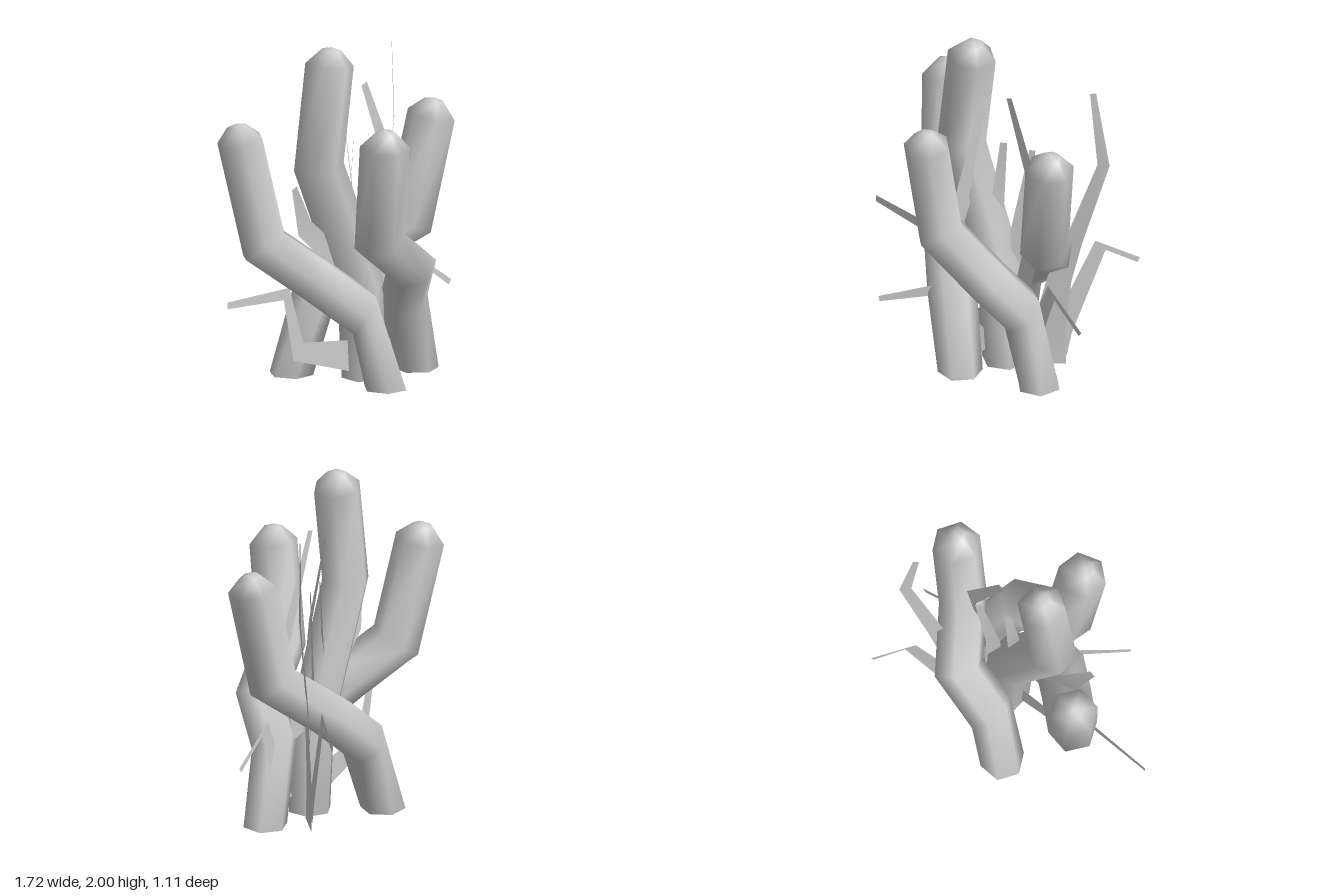
import * as THREE from 'three';

const V = (p) => new THREE.Vector3(p[0], p[1], p[2]);
const SIDES = 6, RADIUS = 0.143, FOOT_RADIUS = 0.13;

// Six-sided branch through points from foot to tip, with a domed end.
function branchGeometry(path, phase) {
  const pts = path.map(V), n = pts.length;
  const dirs = pts.slice(1).map((p, i) => p.clone().sub(pts[i]).normalize());
  const t = dirs[n - 2];
  const u = new THREE.Vector3(Math.cos(phase), 0, Math.sin(phase));
  const ring = (c, r, a, b) => Array.from({ length: SIDES }, (_, i) => {
    const angle = (i / SIDES) * Math.PI * 2;
    return c.clone().addScaledVector(a, r * Math.cos(angle)).addScaledVector(b, r * Math.sin(angle));
  });
  const up = new THREE.Vector3(0, 1, 0);
  const foot = ring(pts[0], FOOT_RADIUS, u, up.clone().cross(u));
  u.addScaledVector(t, -u.dot(t)).normalize();
  const v = t.clone().cross(u);

  // Slide the tip ring down each segment onto the plane of the next bend;
  // the lowest bend is cut more steeply
  const rings = [ring(pts[n - 1], RADIUS, u, v)];
  for (let k = n - 2; k > 0; k--) {
    const d = dirs[k];
    const normal = k > 1 ? d.clone().add(dirs[k - 1]) : d.clone().multiplyScalar(1.2).addScaledVector(dirs[0], -0.2);
    rings.unshift(rings[0].map((p) => {
      const s = pts[k].clone().sub(p).dot(normal) / d.dot(normal);
      return p.clone().addScaledVector(d, s);
    }));
  }
  rings.unshift(foot);
  rings.push(ring(pts[n - 1].clone().addScaledVector(t, 0.085), 0.06, u, v));

  const verts = rings.flat();
  const base = verts.push(pts[0]) - 1;
  const tip = verts.push(pts[n - 1].clone().addScaledVector(t, 0.102)) - 1;
  const index = [], last = (rings.length - 1) * SIDES;
  for (let i = 0; i < SIDES; i++) {
    const j = (i + 1) % SIDES;
    for (let r = 0; r < last; r += SIDES) {
      index.push(r + i, r + j, r + SIDES + j, r + i, r + SIDES + j, r + SIDES + i);
    }
    index.push(base, j, i, tip, last + i, last + j);
  }
  const g = new THREE.BufferGeometry().setFromPoints(verts);
  g.setIndex(index);
  g.computeVertexNormals();
  return g;
}

// Flat tapering blade; its width lies in the vertical plane of the given heading.
// Each point is x, y, z, width.
function bladeGeometry(path, heading) {
  const pts = path.map(V), n = pts.length;
  const normal = new THREE.Vector3(-Math.sin(heading), 0, Math.cos(heading));
  const verts = [], index = [];
  pts.forEach((p, i) => {
    const dir = pts[Math.min(i + 1, n - 1)].clone().sub(pts[Math.max(i - 1, 0)]);
    const side = dir.cross(normal).normalize().multiplyScalar(path[i][3] / 2);
    verts.push(p.clone().add(side), p.clone().sub(side));
    if (i) index.push(2 * i - 2, 2 * i - 1, 2 * i + 1, 2 * i - 2, 2 * i + 1, 2 * i);
  });
  const g = new THREE.BufferGeometry().setFromPoints(verts);
  g.setIndex(index);
  g.computeVertexNormals();
  return g;
}

export function createModel() {
  const model = new THREE.Group();
  const solid = new THREE.MeshStandardMaterial({ color: 0xcccccc });
  const thin = new THREE.MeshStandardMaterial({ color: 0xcccccc, side: THREE.DoubleSide });
  const build = (parts, shape, material) => {
    for (const [name, [degrees, path]] of Object.entries(parts)) {
      const mesh = new THREE.Mesh(shape(path, THREE.MathUtils.degToRad(degrees)), material);
      mesh.name = name;
      model.add(mesh);
    }
  };

  // Thick branches: hexagon turn in degrees, then the path
  build({
    rightBranch: [6, [[0.12, 0, 0.27], [0, 0.45, 0.22], [-0.22, 0.665, 0.04], [-0.44, 0.87, -0.15], [-0.535, 1.485, -0.25]]],
    tallBranch: [90, [[0.2, 0, 0], [0.17, 0.55, 0], [-0.15, 1.31, 0], [-0.067, 1.9, 0]]],
    frontBranch: [38, [[0.55, 0, 0.06], [0.43, 0.45, 0.085], [0.335, 0.675, 0.25], [0.02, 0.9, 0.33], [-0.015, 1.485, 0.41]]],
    leftBranch: [0, [[-0.06, 0, -0.33], [0.07, 0.45, -0.28], [0.335, 0.67, -0.26], [0.545, 0.89, 0.01], [0.655, 1.485, 0.075]]],
  }, branchGeometry, solid);

  // Thin blades growing between the branches: heading in degrees, then the path
  build({
    rightLowBlade: [0, [[0.2, 0.12, 0, 0.2], [-0.31, 0.24, 0, 0.12], [-0.4, 0.6, 0, 0.08], [-0.86, 0.615, 0, 0.04]]],
    rightUpperBlade: [0, [[0, 0.72, 0, 0.12], [-0.27, 0.97, 0.01, 0.12], [-0.4, 1.24, 0.065, 0.04]]],
    frontLowBlade: [-45, [[0.17, 0.1, 0.1, 0.12], [-0.03, 0.48, 0.28, 0.09], [-0.27, 0.42, 0.54, 0.035]]],
    leftLowBlade: [0, [[0.4, 0.1, 0.02, 0.12], [0.61, 0.62, 0.02, 0.09], [0.85, 0.445, 0.02, 0.035]]],
    backLowBlade: [-45, [[0.44, 0.07, -0.18, 0.13], [0.46, 0.22, -0.21, 0.12], [0.6, 0.77, -0.38, 0.085], [0.74, 0.665, -0.55, 0.035]]],
    backTallBlade: [-45, [[0.41, 0, -0.145, 0.21], [0.41, 0.22, -0.15, 0.19], [0.47, 0.57, -0.18, 0.14], [0.54, 0.83, -0.225, 0.1], [0.71, 1.38, -0.3, 0.07], [0.66, 1.85, -0.265, 0.035]]],
    leftTallBlade: [0, [[0.33, 0.5, -0.02, 0.12], [0.47, 1.1, -0.02, 0.1], [0.22, 1.73, -0.02, 0.045]]],
    middleBlade: [-45, [[0.28, 0.2, -0.03, 0.1], [0.25, 0.85, -0.06, 0.08], [0.33, 1.4, -0.1, 0.035]]],
    shortBlade: [-45, [[0.25, 0.4, -0.02, 0.1], [0.11, 0.95, -0.03, 0.08], [0.155, 1.4, -0.04, 0.04]]],
    innerFrontBlade: [-45, [[0.15, 0.4, 0.1, 0.1], [0, 1.05, 0.14, 0.08], [0.03, 1.61, 0.01, 0.035]]],
  }, bladeGeometry, thin);

  return model;
}
